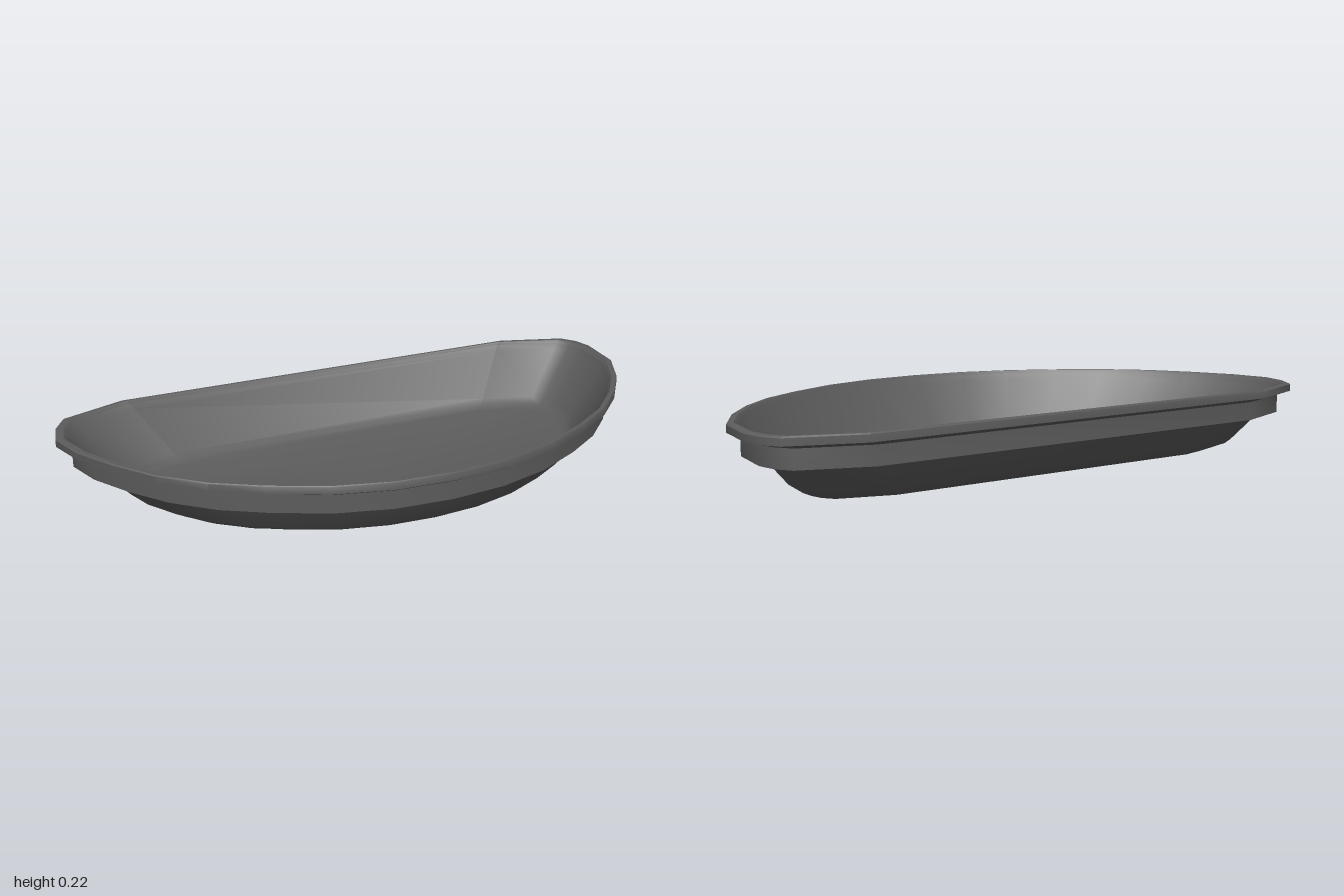
import * as THREE from 'three';
import { toCreasedNormals } from 'three/addons/utils/BufferGeometryUtils.js';

// Half-moon outline of the rim as [x, z], starting at the straight back edge
const OUTLINE = [
  [-0.73, -0.5], [0.73, -0.5], [0.95, -0.425], [0.985, -0.375], [1, -0.31], [0.98, -0.14],
  [0.9, 0.01], [0.8, 0.14], [0.68, 0.255], [0.54, 0.345], [0.37, 0.43], [0.19, 0.48], [0, 0.495],
  [-0.19, 0.48], [-0.37, 0.43], [-0.54, 0.345], [-0.68, 0.255], [-0.8, 0.14], [-0.89, 0.01],
  [-0.965, -0.13], [-1, -0.26], [-0.98, -0.35], [-0.94, -0.42],
];

// Skins rings [scaleX, scaleZ, y] of the outline; a zero scale closes the skin at its centre
function loft(rings) {
  const n = OUTLINE.length, pos = [], index = [];
  for (const [sx, sz, y] of rings) for (const [x, z] of OUTLINE) pos.push(x * sx, y, z * sz);
  for (let r = 0; r < rings.length - 1; r++) {
    for (let i = 0; i < n; i++) {
      const a = r * n + i, b = r * n + (i + 1) % n, c = a + n, d = b + n;
      if (rings[r][0] > 0) index.push(a, b, c);
      if (rings[r + 1][0] > 0) index.push(b, d, c);
    }
  }
  const geo = new THREE.BufferGeometry();
  geo.setAttribute('position', new THREE.Float32BufferAttribute(pos, 3));
  geo.setIndex(index);
  return toCreasedNormals(geo, 0.7);
}

export function createModel() {
  const group = new THREE.Group();
  const plastic = new THREE.MeshStandardMaterial({ color: 0x5c5c5c });
  plastic.name = 'dark grey plastic';

  const add = (name, geo) => {
    const mesh = new THREE.Mesh(geo, plastic);
    mesh.name = name;
    group.add(mesh);
    return mesh;
  };

  // Inside: flat floor, rounded foot of the wall, sloping wall
  add('basinInterior', loft([
    [0, 0, 0.022], [0.75, 0.69, 0.022], [0.785, 0.735, 0.03], [0.81, 0.765, 0.05],
    [0.95, 0.945, 0.195], [0.965, 0.965, 0.213],
  ]));

  // Rim lip overhanging the band
  add('rim', loft([
    [0.965, 0.965, 0.213], [0.975, 0.975, 0.222], [0.995, 0.995, 0.222], [1, 1, 0.218],
    [1, 1, 0.196], [0.975, 0.98, 0.19], [0.955, 0.955, 0.184],
  ]));

  // Upright band with a step underneath
  add('band', loft([[0.955, 0.955, 0.184], [0.955, 0.955, 0.125], [0.895, 0.89, 0.125]]));

  // Tapered underside with a chamfer and flat base
  add('underbody', loft([
    [0.895, 0.89, 0.125], [0.81, 0.775, 0.035], [0.795, 0.745, 0.02],
    [0.76, 0.665, 0.004], [0, 0, 0.004],
  ]));

  // Four small round feet
  for (const x of [-0.43, 0.43]) {
    for (const z of [-0.15, 0.15]) {
      add('foot', new THREE.CylinderGeometry(0.02, 0.02, 0.006, 16)).position.set(x, 0.003, z);
    }
  }
  return group;
}
